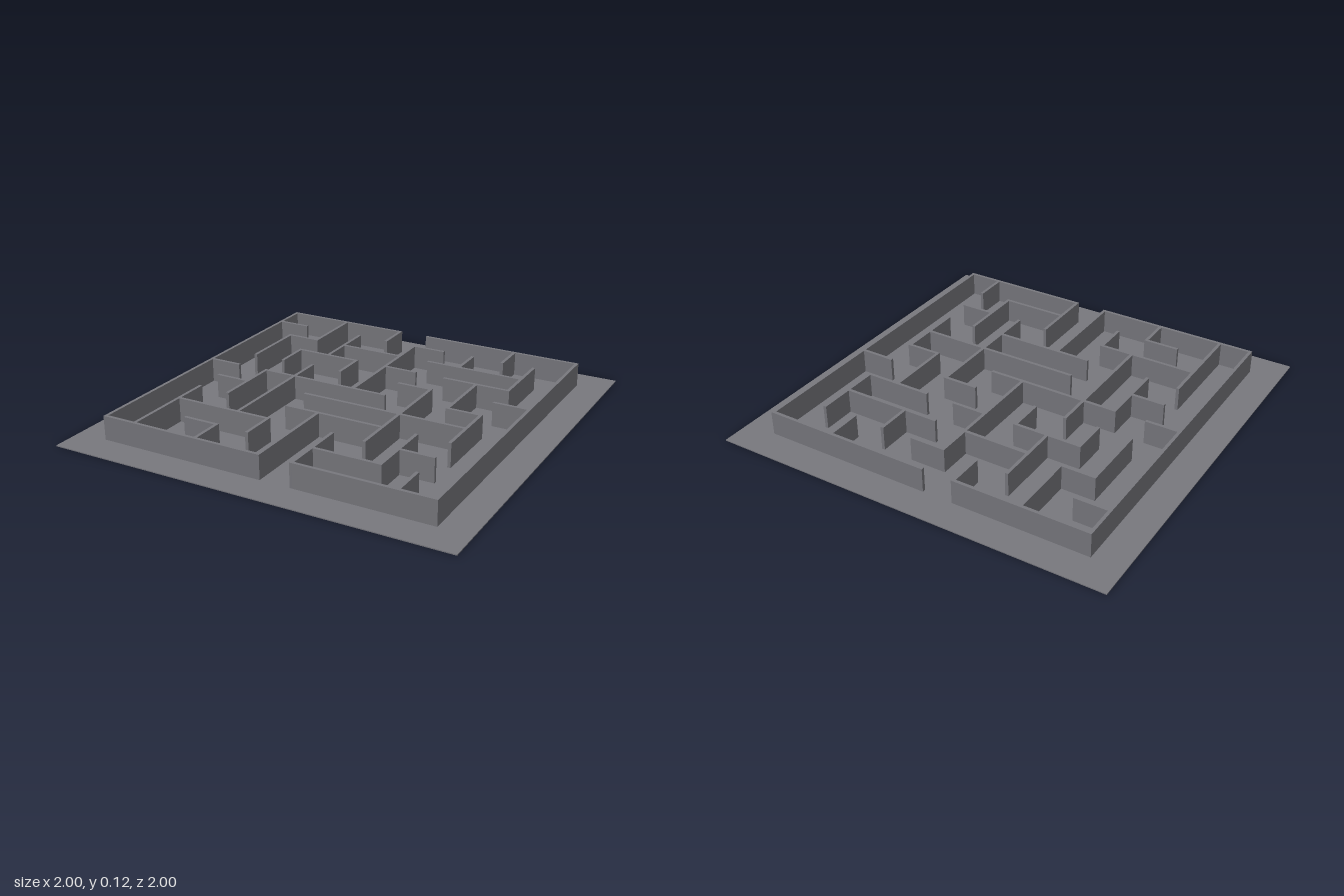
import * as THREE from 'three';

const PITCH = 0.167;
const THICK = 0.016;
const BASE = 0.005;
const TOP = 0.125;

// Wall runs on an 11 x 11 lattice: [line, from, to]
const ACROSS = [
  [0, 0, 4], [0, 5, 10], [1, 0, 1], [1, 5, 6], [2, 1, 2], [2, 3, 5], [2, 6, 9],
  [3, 2, 4], [3, 5, 6], [3, 7, 9], [4, 6, 7], [4, 9, 10], [5, 0, 1], [5, 2, 6],
  [5, 8, 9], [6, 1, 2], [6, 4, 9], [7, 4, 7], [8, 1, 4], [8, 8, 9], [9, 2, 3],
  [9, 6, 8], [10, 0, 5], [10, 6, 10],
];
const ALONG = [
  [0, 0, 10], [1, 2, 4], [1, 7, 10], [2, 0, 2], [2, 3, 4], [2, 5, 7], [3, 1, 3],
  [3, 4, 8], [3, 9, 10], [4, 0, 1], [4, 3, 4], [4, 8, 9], [5, 1, 5], [5, 7, 10],
  [6, 8, 10], [7, 1, 2], [7, 4, 8], [8, 0, 1], [8, 3, 5], [8, 7, 9], [9, 1, 3],
  [9, 5, 7], [9, 9, 10], [10, 0, 10],
];

const zAt = (i) => (i - 5) * PITCH;
// Inner lines sit slightly towards -x
const xAt = (i) => (i - 5) * PITCH - (i > 0 && i < 10 ? 0.004 : 0);

export function createModel() {
  const group = new THREE.Group();
  group.name = 'maze';
  const stone = new THREE.MeshStandardMaterial({ color: 0x78787e });
  stone.name = 'grey stone';

  // Box spanning the given ranges
  const addBox = (name, parent, x0, x1, y0, y1, z0, z1) => {
    const mesh = new THREE.Mesh(new THREE.BoxGeometry(x1 - x0, y1 - y0, z1 - z0), stone);
    mesh.position.set((x0 + x1) / 2, (y0 + y1) / 2, (z0 + z1) / 2);
    mesh.name = name;
    parent.add(mesh);
  };

  // Thin ground slab
  addBox('floor', group, -1, 1, 0, BASE, -1, 1);

  // Walls, each reaching half a thickness past its end points
  const walls = new THREE.Group();
  walls.name = 'walls';
  group.add(walls);
  const h = THICK / 2;
  for (const [row, a, b] of ACROSS) {
    const name = row === 0 || row === 10 ? 'outerWall' : 'innerWall';
    addBox(name, walls, xAt(a) - h, xAt(b) + h, BASE, TOP, zAt(row) - h, zAt(row) + h);
  }
  for (const [col, a, b] of ALONG) {
    const name = col === 0 || col === 10 ? 'outerWall' : 'innerWall';
    addBox(name, walls, xAt(col) - h, xAt(col) + h, BASE, TOP, zAt(a) - h, zAt(b) + h);
  }
  return group;
}
